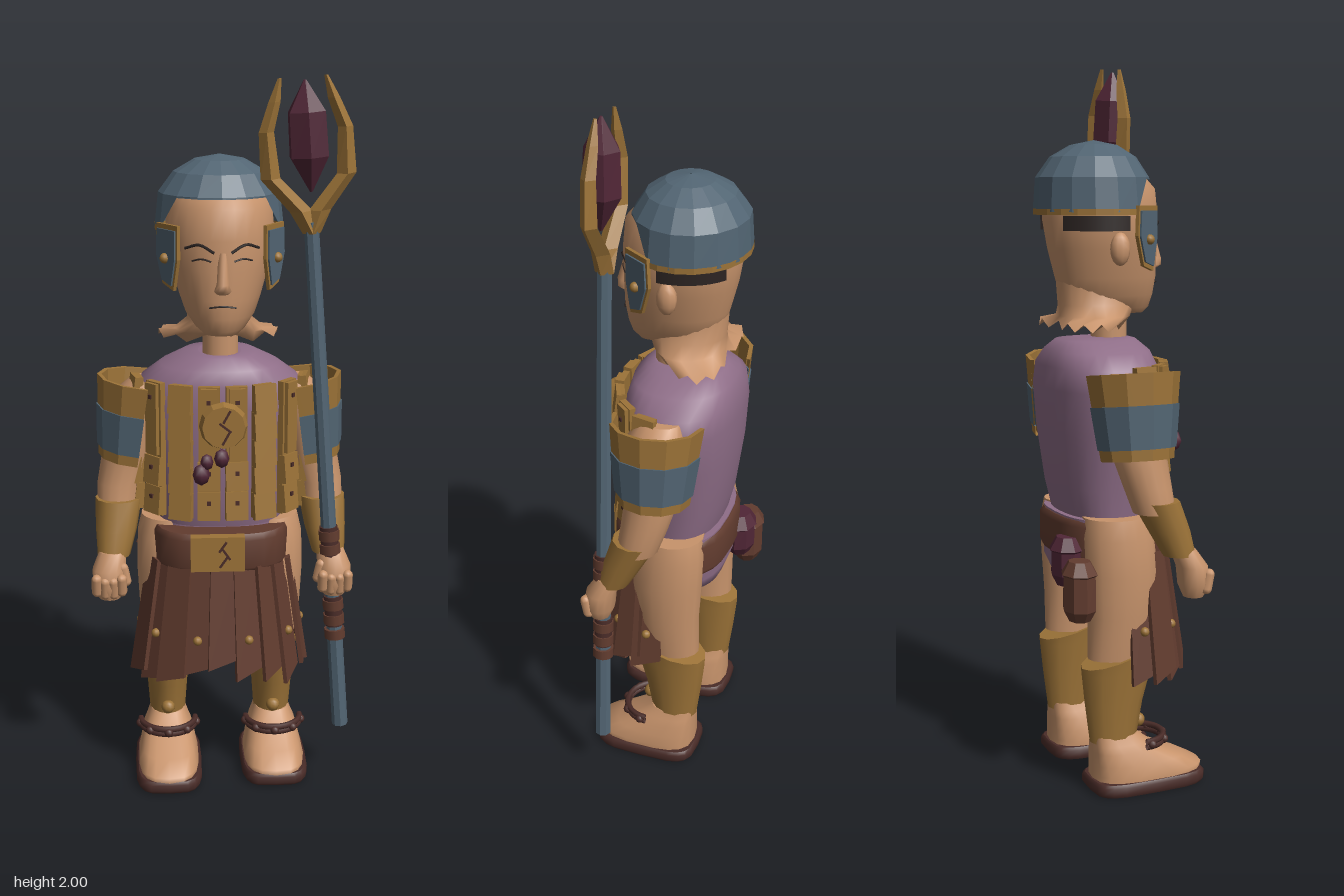
import * as THREE from 'three';

const mat = (name, hex) => {
  const m = new THREE.MeshStandardMaterial({ color: hex, side: THREE.DoubleSide });
  m.name = name;
  return m;
};
const SKIN = mat('skin', 0xc8946c), GOLD = mat('bronze', 0x9c7338), BLUE = mat('steel blue', 0x526573);
const LILAC = mat('lilac cloth', 0x8f6e88), BROWN = mat('brown leather', 0x623c2f), DARK = mat('dark leather', 0x4a2c28);
const WINE = mat('wine crystal', 0x502636), HAIR = mat('dark hair', 0x2c2422);

// Loft through rings [y, centreX, halfWidth, frontZ, backZ]; e < 1 makes sections boxier.
function loft(rings, n = 16, { e = 1, flat = false, caps = true, tweak } = {}) {
  const pos = [], idx = [], pw = v => Math.sign(v) * Math.abs(v) ** e;
  const addRing = (r, i) => {
    const [y, cx, rx, zf, zb] = r;
    for (let j = 0; j < n; j++) {
      const a = j / n * Math.PI * 2;
      const p = [cx + rx * pw(Math.sin(a)), y, (zf + zb) / 2 + (zf - zb) / 2 * pw(Math.cos(a))];
      if (tweak) tweak(p, i, j, a);
      pos.push(...p);
    }
  };
  rings.forEach(addRing);
  for (let i = 0; i < rings.length - 1; i++) for (let j = 0; j < n; j++) {
    const k = (j + 1) % n, a = i * n + j, b = i * n + k, c = b + n, d = a + n;
    idx.push(a, b, c, a, c, d);
  }
  if (caps) for (const i of [0, rings.length - 1]) {
    const s = pos.length / 3, [y, cx, , zf, zb] = rings[i];
    addRing(rings[i], i);
    pos.push(cx, y, (zf + zb) / 2);
    for (let j = 0; j < n; j++) {
      const k = (j + 1) % n;
      i ? idx.push(s + j, s + k, s + n) : idx.push(s + k, s + j, s + n);
    }
  }
  let g = new THREE.BufferGeometry();
  g.setAttribute('position', new THREE.Float32BufferAttribute(pos, 3));
  g.setIndex(idx);
  if (flat) g = g.toNonIndexed();
  g.computeVertexNormals();
  return g;
}
const flatten = g => { const f = g.toNonIndexed(); f.computeVertexNormals(); return f; };

function add(parent, name, geo, m, x = 0, y = 0, z = 0, rx = 0, ry = 0, rz = 0) {
  const mesh = new THREE.Mesh(geo, m);
  mesh.name = name;
  mesh.position.set(x, y, z);
  mesh.rotation.set(rx, ry, rz);
  parent.add(mesh);
  return mesh;
}
function group(parent, name) {
  const g = new THREE.Group();
  g.name = name;
  parent.add(g);
  return g;
}
const box = (w, h, d) => new THREE.BoxGeometry(w, h, d);
const ball = r => new THREE.SphereGeometry(r, 10, 8);

function buildHead(root) {
  const head = group(root, 'head');
  add(head, 'skull', loft([[1.32, 0, .045, .1, .02], [1.335, 0, .07, .118, -.1], [1.37, 0, .095, .128, -.14], [1.42, 0, .112, .135, -.155], [1.5, 0, .135, .135, -.175],
    [1.58, 0, .15, .135, -.188], [1.66, 0, .142, .127, -.18], [1.7, 0, .12, .09, -.16], [1.75, 0, .05, .03, -.09]], 28), SKIN);
  add(head, 'neck', new THREE.CylinderGeometry(.05, .05, .13, 14), SKIN, 0, 1.3, 0);
  // ragged edge of skin flaring out behind the neck
  add(head, 'neckFlap', loft([[1.29, 0, .17, .03, -.15], [1.315, 0, .125, .05, -.147], [1.345, 0, .09, .07, -.147], [1.42, 0, .09, .07, -.153]], 22,
    { caps: false, tweak: (p, i, j, a) => { if (!i) { p[1] += j % 2 ? .012 : -.01; p[2] -= .05 * Math.abs(Math.sin(a)); } } }), SKIN);
  add(head, 'nose', loft([[1.44, 0, .016, .142, .11], [1.45, 0, .024, .16, .11], [1.468, 0, .017, .162, .11], [1.55, 0, .012, .137, .11]], 10), SKIN);
  // thin facial lines that follow the face
  const line = (name, pts, r) => {
    const v = pts.map(([x, y]) => {
      const t = (y - 1.42) / .16, w = .11 + .04 * t, cz = .0075 - .0325 * t;
      return new THREE.Vector3(x, y, cz + (.1275 + .0325 * t) * Math.sqrt(1 - (x / w) ** 2));
    });
    add(head, name, new THREE.TubeGeometry(new THREE.CatmullRomCurve3(v), 10, r, 5), HAIR);
  };
  line('mouth', [[-.036, 1.403], [0, 1.408], [.036, 1.403]], .0025);
  for (const s of [1, -1]) {
    line('eyebrow', [[s * .022, 1.55], [s * .06, 1.57], [s * .098, 1.558]], .004);
    line('eyelid', [[s * .03, 1.527], [s * .055, 1.533], [s * .08, 1.526]], .0025);
    add(head, 'ear', ball(1), SKIN, s * .142, 1.5, -.03).scale.set(.022, .045, .028);
    // strip of hair above each ear
    const hair = new THREE.CylinderGeometry(1, 1, .04, 8, 1, true, s > 0 ? 1.45 : Math.PI * 2 - 2.6, 1.15);
    add(head, 'hair', hair, HAIR, 0, 1.568, -.027).scale.set(.157, 1, .167);
  }

  // faceted helmet, raised over the forehead
  const helmet = group(root, 'helmet');
  add(helmet, 'dome', loft([[1.598, 0, .176, .113, -.21], [1.69, 0, .166, .105, -.204], [1.745, 0, .125, .07, -.165],
    [1.777, 0, .07, .02, -.11], [1.79, 0, .002, -.043, -.047]], 16, {
    flat: true, caps: false, tweak: (p, i, j, a) => { if (!i && Math.cos(a) > .7) { p[1] = 1.685; p[0] *= .95; p[2] -= .007; } }
  }), BLUE);
  const rim = add(helmet, 'rim', flatten(new THREE.CylinderGeometry(1, 1, .016, 16, 1, true, .8, Math.PI * 2 - 1.6)), GOLD, 0, 1.598, -.047);
  rim.scale.set(.177, 1, .163);
  const guard = k => {
    const sh = new THREE.Shape([[-.045, .09], [.05, .09], [.05, .0], [.03, -.085], [-.02, -.07], [-.05, .01]].map(([x, y]) => new THREE.Vector2(x * k, y * k)));
    return new THREE.ExtrudeGeometry(sh, { depth: .01, bevelEnabled: false });
  };
  for (const s of [1, -1]) {
    const g = group(helmet, 'cheekGuard');
    g.position.set(s * .138, 1.525, .044);
    g.rotation.y = s * .98;
    add(g, 'guardTrim', guard(1), GOLD).scale.x = -s;
    add(g, 'guardPlate', guard(.85), BLUE, 0, 0, .005).scale.x = -s;
    add(g, 'guardStud', ball(.014), GOLD, 0, 0, .016);
  }
}

function buildTorso(root) {
  add(root, 'tunic', loft([[.77, 0, .175, .08, -.15], [.85, 0, .185, .1, -.17], [1, 0, .21, .115, -.19], [1.12, 0, .235, .115, -.195],
    [1.18, 0, .22, .11, -.19], [1.22, 0, .165, .1, -.175], [1.25, 0, .1, .07, -.15], [1.255, 0, .06, .05, -.1]], 28, { e: .85 }), LILAC);
  add(root, 'briefs', loft([[.55, 0, .07, .05, -.11], [.575, 0, .13, .06, -.148], [.63, 0, .178, .07, -.168], [.77, 0, .185, .07, -.165]], 24, { e: .75 }), LILAC);
  const belt = group(root, 'belt');
  add(belt, 'strap', loft([[.655, 0, .185, .135, -.172], [.67, 0, .192, .152, -.18], [.75, 0, .192, .152, -.18], [.765, 0, .185, .135, -.168]], 24, { e: .72 }), BROWN);
  add(belt, 'buckle', box(.15, .1, .03), GOLD, -.015, .718, .15);
  [[-.001, .74, -.6], [.009, .718, .6], [.001, .695, -.6]].forEach(([x, y, a]) => add(belt, 'buckleMark', box(.006, .036, .004), DARK, x, y, .166, 0, 0, a));

  // breastplate of upright slats wrapped round the chest
  const plate = group(root, 'breastplate');
  for (const s of [1, -1]) [[.037, .135, .1], [.11, .113, .42], [.18, .068, .85], [.228, -.002, 1.35]].forEach(([x, z, a], c) => {
    const col = group(plate, 'slatColumn');
    col.position.set(s * x, 1, z);
    col.rotation.y = s * a;
    add(col, 'backing', box(.058, .38, .018), GOLD);
    if (c % 2) {
      for (let r = 0; r < 5; r++) add(col, 'slat', box(.066, .078, .016), GOLD, 0, .152 - r * .076, .012, -.14);
    } else {
      add(col, 'ridge', box(.044, .2, .016), GOLD, 0, .087, .012);
      for (const y of [-.06, -.145]) add(col, 'slat', box(.062, .08, .016), GOLD, 0, y, .012, -.1);
      for (const y of [.15, -.05, -.135]) add(col, 'hole', box(.011, .011, .006), DARK, 0, y, .021);
    }
  });
  add(plate, 'medallion', flatten(new THREE.CylinderGeometry(.058, .066, .025, 12)), GOLD, 0, 1.09, .178, Math.PI / 2);
  [[.008, 1.12, -.5], [.004, 1.09, .9], [.006, 1.06, -.5]].forEach(([x, y, a]) => add(plate, 'medallionMark', box(.006, .04, .004), DARK, x, y, .191, 0, 0, a));
  [[-.06, .955], [-.005, 1], [-.045, .99]].forEach(([x, y], i) => {
    add(plate, 'pendant', new THREE.OctahedronGeometry(.024 - i * .003, 1), WINE, x, y, .175).scale.y = 1.3;
  });

  // pouches at the back
  const pouch = (x, y, z, m, h) => add(root, 'pouch', loft([[y, x, .035, z + .03, z - .03], [y + .03, x, .054, z + .045, z - .045],
    [y + h - .04, x, .052, z + .045, z - .045], [y + h - .035, x, .058, z + .05, z - .05], [y + h, x, .035, z + .03, z - .03]], 8, { flat: true }), m);
  pouch(-.1, .585, -.17, WINE, .135);
  pouch(-.185, .505, -.17, BROWN, .165);
}

function buildSkirt(root) {
  const skirt = group(root, 'skirt');
  const ends = [.36, .36, .365, .35, .32, .295, .33, .335, .36, .32, .33];
  ends.forEach((len, i) => {
    const a = (i - 5) * .32, g = group(skirt, 'skirtStrip');
    g.position.set(.19 * Math.sin(a), .672, .01 + .128 * Math.cos(a));
    g.rotation.y = a;
    const geo = box(.07, len, .012).translate(0, -len / 2, 0), p = geo.attributes.position;
    // wider, ragged lower end
    for (let k = 0; k < p.count; k++) if (p.getY(k) < -.1) {
      p.setX(k, p.getX(k) * 1.25);
      p.setY(k, p.getY(k) + (p.getX(k) > 0 ? .03 : 0));
    }
    add(g, 'strip', flatten(geo), BROWN, 0, 0, (i % 2) * .008, -.15, .12);
    if (i % 2 === 0) add(g, 'stripStud', ball(.013), GOLD, 0, -.21, .04);
  });
}

function buildLeg(root, s) {
  const leg = group(root, s > 0 ? 'leftLeg' : 'rightLeg'), x = s * .155, f = s > 0 ? -.03 : 0;
  add(leg, 'thigh', loft([[.38, x, .062, .045, -.13], [.5, x * 1.03, .074, .06, -.13], [.62, x * 1.03, .08, .07, -.138],
    [.72, x, .082, .06, -.142], [.775, x * .9, .085, .045, -.135]], 18), SKIN);
  add(leg, 'greave', loft([[.14, x, .052, .01, -.125], [.25, x, .06, .03, -.14], [.34, x, .068, .056, -.15], [.385, x, .073, .064, -.15]], 14,
    { tweak: (p, i, j, a) => { if (i === 3) p[1] += .03 * Math.cos(a); } }), GOLD);
  add(leg, 'greaveStud', ball(.02), GOLD, x, .185, .02);
  add(leg, 'foot', loft([[.03, x, .087, .202 + f, -.12], [.05, x, .088, .206 + f, -.12], [.08, x, .08, .15 + f, -.12],
    [.115, x, .07, .07, -.12], [.135, x, .06, .04, -.12], [.16, x, .05, .01, -.12]], 18, { e: .7 }), SKIN);
  add(leg, 'sole', loft([[0, x, .092, .2 + f, -.125], [.01, x, .097, .207 + f, -.132], [.028, x, .097, .207 + f, -.132], [.036, x, .09, .2 + f, -.125]], 20, { e: .5 }), DARK);
  // beaded strap round the front of the ankle
  for (const y of [.132, .146]) add(leg, 'ankleStrap', new THREE.TorusGeometry(.08, .009, 6, 16, Math.PI), DARK, x, y, .01, Math.PI / 2);
  for (let i = 0; i < 5; i++) {
    const a = (i - 2) * .7;
    add(leg, 'strapBead', ball(.013), DARK, x + .083 * Math.sin(a), .138, .012 + .083 * Math.cos(a));
  }
}

function buildArm(root, s) {
  const arm = group(root, s > 0 ? 'leftArm' : 'rightArm');
  const mir = rings => rings.map(([y, x, ...r]) => [y, s * x, ...r]);
  add(arm, 'upperArm', loft(mir([[.81, .29, .058, .06, -.055], [.88, .283, .064, .05, -.08], [.95, .265, .07, .045, -.1], [1.05, .25, .08, .05, -.115],
    [1.13, .235, .075, .05, -.11], [1.175, .21, .04, .02, -.09]]), 16), SKIN);
  add(arm, 'bracer', loft(mir([[.69, .303, .046, .115, .025], [.76, .295, .058, .1, -.015], [.84, .288, .066, .072, -.06]]), 12), GOLD);
  add(arm, 'hand', loft(mir([[.575, .316, .03, .135, .08], [.61, .317, .047, .148, .065], [.66, .316, .048, .145, .06], [.705, .306, .038, .115, .045]]), 14), SKIN);
  for (let i = 0; i < 4; i++) add(arm, 'finger', new THREE.CapsuleGeometry(.015, .04, 4, 8), SKIN, s * (.282 + i * .023), .608 + Math.abs(i - 1.5) * .008, .133, .2);
  add(arm, 'thumb', new THREE.CapsuleGeometry(.015, .04, 4, 8), SKIN, s * .274, .645, .115, 0, 0, s * -.2);

  // curved, flared shoulder guard with a painted middle band, tipped up at the outside
  const pad = group(arm, 'shoulderGuard'), mid = 1.07;
  pad.position.set(s * .227, mid, -.028);
  pad.rotation.z = s * .13;
  const shell = (name, m, y0, y1, inner, outer) => {
    const R = y => .101 + (y - .95) * .125;
    const pts = [[inner, y0], [outer, y0], [outer, y1], [inner, y1], [inner, y0]].map(([o, y]) => new THREE.Vector2(R(y) + o, y - mid));
    add(pad, name, flatten(new THREE.LatheGeometry(pts, 6, (s > 0 ? 0 : Math.PI) - .1, Math.PI + .2)), m);
  };
  shell('guardShell', GOLD, .945, 1.175, -.012, 0);
  shell('guardBand', BLUE, .975, 1.09, -.004, .004);
}

function buildStaff(root) {
  const staff = group(root, 'staff');
  staff.position.set(.345, .16, .1);
  staff.rotation.z = .075;
  add(staff, 'shaft', flatten(new THREE.CylinderGeometry(.02, .023, 1.47, 8)), BLUE, 0, .735, 0);
  for (const y of [.29, .335, .38, .55, .59]) add(staff, 'grip', new THREE.CylinderGeometry(.03, .03, .028, 10), BROWN, 0, y, 0);
  for (const y of [.36, .57]) add(staff, 'gripWrap', new THREE.CylinderGeometry(.026, .026, .09, 10), DARK, 0, y, 0);
  // two-pronged head holding a long crystal
  for (const s of [1, -1]) add(staff, 'prong', loft([[1.44, 0, .024, .026, -.026], [1.5, s * .025, .03, .026, -.026], [1.59, s * .1, .026, .023, -.023], [1.71, s * .103, .02, .02, -.02],
    [1.785, s * .077, .016, .015, -.015], [1.843, s * .06, .005, .005, -.005]], 4, { flat: true }), GOLD);
  add(staff, 'crystal', loft([[1.55, .004, .004, .012, .004], [1.64, .004, .056, .058, -.046], [1.755, .004, .054, .055, -.042], [1.835, .004, .004, .012, .004]], 6, { flat: true }), WINE);
}

export function createModel() {
  const root = new THREE.Group();
  root.name = 'spearGuard';
  buildHead(root);
  buildTorso(root);
  buildSkirt(root);
  for (const s of [1, -1]) {
    buildLeg(root, s);
    buildArm(root, s);
  }
  buildStaff(root);
  return root;
}
